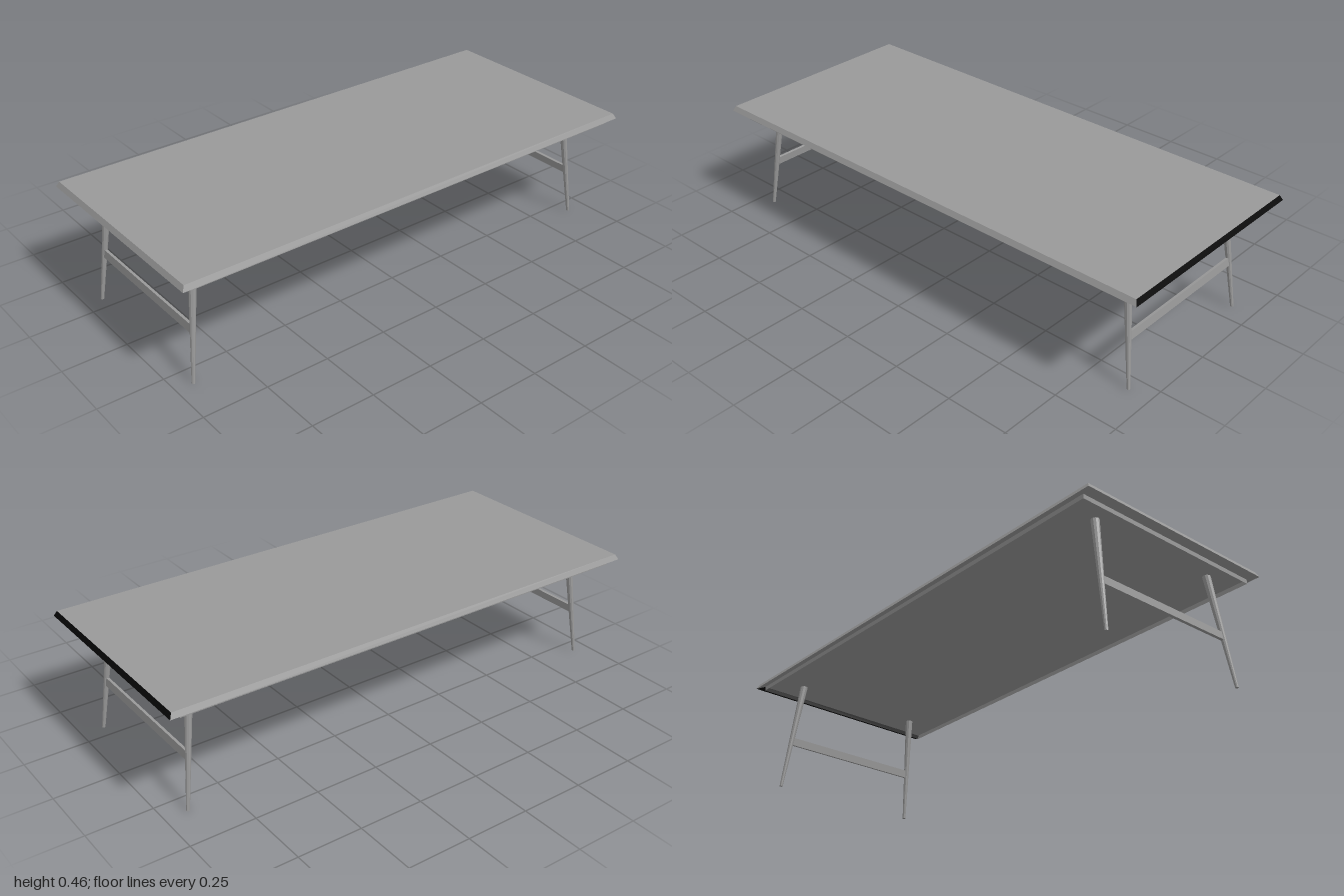
import * as THREE from 'three';

const grey = new THREE.MeshStandardMaterial({ color: 0x999999, flatShading: true, side: THREE.DoubleSide });
const black = new THREE.MeshStandardMaterial({ color: 0x060606, flatShading: true, side: THREE.DoubleSide });

function addMesh(parent, name, geometry, material = grey) {
  const mesh = new THREE.Mesh(geometry, material);
  mesh.name = name;
  parent.add(mesh);
  return mesh;
}

// Rectangular rings of the table top, from upper face to apron: half width, half depth, height
const rings = [
  [0.423, 0.99, 0.464],
  [0.433, 1, 0.444],
  [0.414, 0.958, 0.444],
  [0.414, 0.958, 0.427],
].map(([x, z, y]) => [[x, y, z], [x, y, -z], [-x, y, -z], [-x, y, z]]);

function quads(list) {
  const positions = list.flatMap(([a, b, c, d]) => [a, b, c, a, c, d]).flat();
  const geometry = new THREE.BufferGeometry();
  geometry.setAttribute('position', new THREE.Float32BufferAttribute(positions, 3));
  geometry.computeVertexNormals();
  return geometry;
}

// Bevel, ledge and thin apron along one side of the top (0 left, 1 back, 2 right, 3 front)
function edgeQuads(side) {
  const next = (side + 1) % 4;
  return rings.slice(1).map((lower, i) =>
    [lower[side], lower[next], rings[i][next], rings[i][side]]);
}

// Tapered round leg between two points, with its ends cut level
function taperedLeg(foot, head, footRadius, headRadius) {
  const height = head.y - foot.y;
  const geometry = new THREE.CylinderGeometry(headRadius, footRadius, height, 10);
  const p = geometry.attributes.position;
  for (let i = 0; i < p.count; i++) {
    const t = p.getY(i) / height + 0.5;
    p.setXYZ(i,
      p.getX(i) + THREE.MathUtils.lerp(foot.x, head.x, t),
      foot.y + t * height,
      p.getZ(i) + THREE.MathUtils.lerp(foot.z, head.z, t));
  }
  geometry.computeVertexNormals();
  return geometry;
}

// Two splayed legs joined by a flat stretcher
function legFrame(name, footZ, headZ, footShift, headShift) {
  const frame = new THREE.Group();
  frame.name = name;
  const headY = 0.443;
  const barY = 0.198;
  const t = barY / headY;
  for (const side of [-1, 1]) {
    const foot = new THREE.Vector3(side * 0.319 + footShift, 0, footZ);
    const head = new THREE.Vector3(side * 0.283 + headShift, headY, headZ);
    addMesh(frame, side > 0 ? 'leftLeg' : 'rightLeg', taperedLeg(foot, head, 0.0065, 0.0155));
  }
  const bar = addMesh(frame, 'stretcher', new THREE.BoxGeometry(0.6, 0.032, 0.011));
  bar.position.set(
    THREE.MathUtils.lerp(footShift, headShift, t), barY,
    THREE.MathUtils.lerp(footZ, headZ, t));
  bar.rotation.x = Math.atan2(headZ - footZ, headY);
  return frame;
}

export function createModel() {
  const table = new THREE.Group();
  table.name = 'lowTable';

  // Bevelled top with a recessed underside inside the apron, and its dark back edge
  const underside = [...rings[2]].reverse();
  addMesh(table, 'tableTop', quads([rings[0], underside, ...[0, 2, 3].flatMap(edgeQuads)]));
  addMesh(table, 'backEdge', quads(edgeQuads(1)), black);

  // Leg frames at both ends
  table.add(legFrame('frontLegs', 0.932, 0.878, 0.01, 0.004));
  table.add(legFrame('backLegs', -0.911, -0.854, -0.009, -0.003));
  return table;
}
